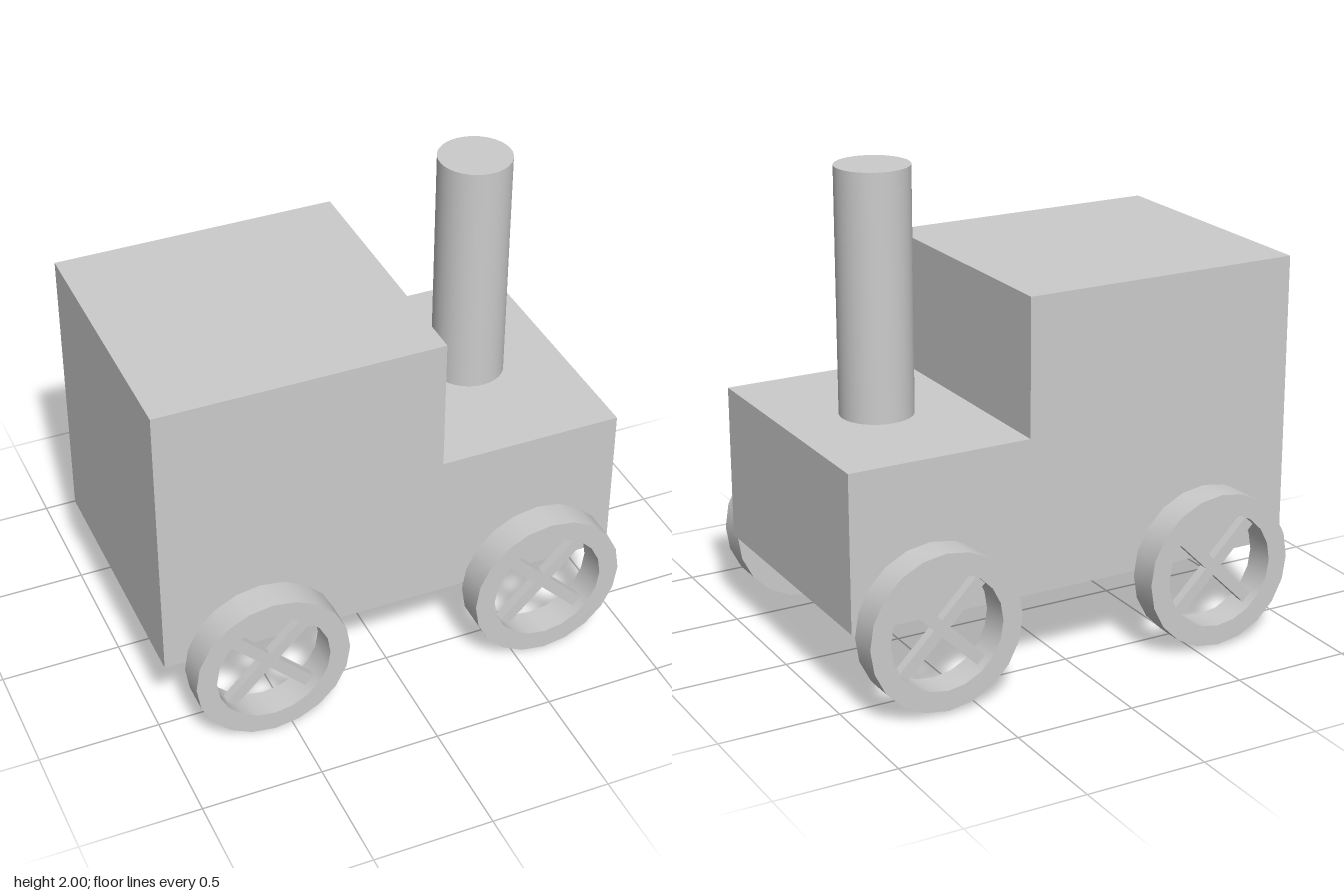
import * as THREE from 'three';
import { toCreasedNormals } from 'three/addons/utils/BufferGeometryUtils.js';

const material = new THREE.MeshStandardMaterial({ color: 0xcccccc });
const RIM = 0.325, HOLE = 0.24, WHEEL_DEPTH = 0.13;

function add(parent, name, geometry, x = 0, y = 0, z = 0) {
  const mesh = new THREE.Mesh(geometry, material);
  mesh.name = name;
  mesh.position.set(x, y, z);
  parent.add(mesh);
  return mesh;
}

// Faceted ring rim with two crossed spokes, centred on its own axis
function makeWheel(name, x, y, z) {
  const wheel = new THREE.Group();
  wheel.name = name;
  wheel.position.set(x, y, z);

  const ring = new THREE.Shape().absarc(0, 0, RIM, 0, Math.PI * 2);
  ring.holes.push(new THREE.Path().absarc(0, 0, HOLE, 0, Math.PI * 2, true));
  const rim = new THREE.ExtrudeGeometry(ring, { depth: WHEEL_DEPTH, bevelEnabled: false, curveSegments: 10 });
  rim.translate(0, 0, -WHEEL_DEPTH / 2);
  add(wheel, 'rim', toCreasedNormals(rim, Math.PI / 6));

  for (const angle of [Math.PI / 4, -Math.PI / 4]) {
    const spoke = add(wheel, 'spoke', new THREE.BoxGeometry(HOLE * 2 + 0.01, 0.05, 0.04));
    spoke.rotation.z = angle;
  }
  return wheel;
}

export function createModel() {
  const model = new THREE.Group();
  model.name = 'steamEngine';

  // Tall cab and low bonnet as one L-shaped block
  const profile = new THREE.Shape([
    [-0.98, 0.355], [0.975, 0.355], [0.975, 1], [0.205, 1], [0.205, 1.565], [-0.98, 1.565],
  ].map(([x, y]) => new THREE.Vector2(x, y)));
  add(model, 'body', new THREE.ExtrudeGeometry(profile, { depth: 1.13, bevelEnabled: false }), 0, 0, -0.57);

  // Chimney on the bonnet
  add(model, 'chimney', new THREE.CylinderGeometry(0.15, 0.15, 1, 32), 0.58, 1.5, -0.005);

  // Wheels, each set slightly unevenly
  const wheels = [
    ['frontLeftWheel', 0.628, 0.335, 0.637],
    ['frontRightWheel', -0.576, 0.327, 0.637],
    ['backLeftWheel', 0.637, 0.34, -0.637],
    ['backRightWheel', -0.597, 0.338, -0.637],
  ];
  for (const wheel of wheels) model.add(makeWheel(...wheel));

  return model;
}
